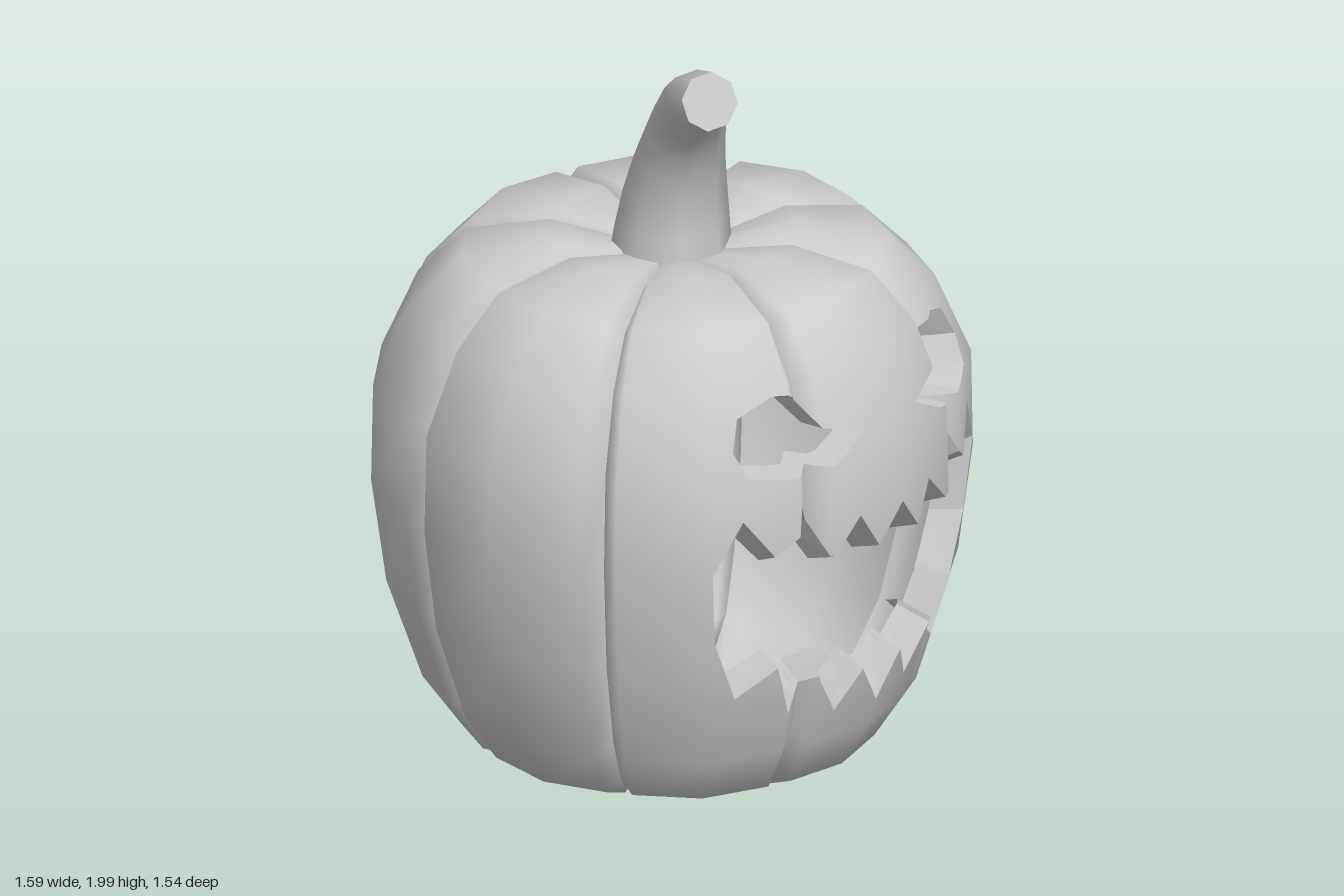
import * as THREE from 'three';

const material = new THREE.MeshStandardMaterial({ color: 0xcccccc, side: THREE.DoubleSide });
const { lerp, clamp, degToRad } = THREE.MathUtils;

// Meridians [radius, height] along the ridge of a lobe and along the groove between lobes
const RIDGE = [[0, .1], [.2, .05], [.4, 0], [.56, .07], [.66, .21], [.755, .49], [.795, .78], [.79, 1.05], [.69, 1.275], [.56, 1.41], [.33, 1.455], [.12, 1.41]];
const GROOVE = [[0, .1], [.22, .09], [.42, .06], [.54, .11], [.62, .25], [.69, .5], [.715, .78], [.7, 1.05], [.62, 1.25], [.5, 1.37], [.3, 1.41], [.11, 1.39]];
const ROWS = RIDGE.length - 1;

// Stations across one lobe: angle, and how far it bulges from groove to ridge
const ANGLE = [-22.5, -19, 0, 19, 22.5];
const BULGE = [0, .83, 1, .83, 0];

// Control point of lobe k at station i, row j
function vertex(k, i, j) {
  const a = degToRad(45 * k + ANGLE[i]);
  const r = lerp(GROOVE[j][0], RIDGE[j][0], BULGE[i]);
  const y = lerp(GROOVE[j][1], RIDGE[j][1], BULGE[i]);
  const z = r * Math.cos(a);
  const flatten = .045 * Math.max(0, z / .795) ** 4; // the face side is a little flatter
  return new THREE.Vector3(r * Math.sin(a), y, z + .02 - flatten);
}

function vertexNormal(k, i, j) {
  const jj = Math.max(j, 1);
  const du = vertex(k, Math.min(i + 1, 4), jj).sub(vertex(k, Math.max(i - 1, 0), jj));
  const dv = vertex(k, i, Math.min(j + 1, ROWS)).sub(vertex(k, i, Math.max(j - 1, 0)));
  return du.cross(dv).normalize();
}

// Bilinear lookup on lobe k; u runs around the body (4 per lobe), v up the meridian
function sample(fn, k, u, v) {
  const s = clamp(u - 4 * k + 2, 0, 4);
  const i = Math.min(3, Math.floor(s)), j = Math.min(ROWS - 1, Math.floor(v));
  const low = fn(k, i, j).lerp(fn(k, i + 1, j), s - i);
  const high = fn(k, i, j + 1).lerp(fn(k, i + 1, j + 1), s - i);
  return low.lerp(high, v - j);
}
const surface = (u, v) => sample(vertex, Math.round(u / 4), u, v);

function bisect(f, target, lo, hi) {
  for (let n = 0; n < 30; n++) {
    const mid = (lo + hi) / 2;
    if (f(mid) < target) lo = mid; else hi = mid;
  }
  return (lo + hi) / 2;
}

// Project a point seen from the front onto the surface
function project([x, y]) {
  let u = 0, v = 6;
  for (let n = 0; n < 12; n++) {
    v = bisect(t => surface(u, t).y, y, 2, 10);
    u = bisect(t => surface(t, v).x, x, -5, 5);
  }
  return [u, v];
}

const flip = pts => pts.map(([x, y]) => [-x, y]).reverse();
const symmetric = pts => [...flip(pts.slice(1)), ...pts];

// Height of a hole edge at u
function at(chain, u) {
  let i = 0;
  while (i < chain.length - 2 && u > chain[i + 1][0]) i++;
  const [a, b] = [chain[i], chain[i + 1]];
  return lerp(a[1], b[1], clamp((u - a[0]) / (b[0] - a[0]), 0, 1));
}

function makeHole(name, bottom, top, middle) {
  const hole = { name, middle, bottom: bottom.map(project), top: top.map(project) };
  hole.start = hole.top[0][0];
  hole.end = hole.top[hole.top.length - 1][0];
  return hole;
}

function makeGeometry(positions, normals) {
  const g = new THREE.BufferGeometry();
  g.setAttribute('position', new THREE.Float32BufferAttribute(positions, 3));
  if (normals) g.setAttribute('normal', new THREE.Float32BufferAttribute(normals, 3));
  else g.computeVertexNormals();
  return g;
}

// One lobe, built in columns that leave out the holes
function lobeGeometry(k, columns, holes) {
  const positions = [], normals = [];
  const us = columns.filter(u => u >= 4 * k - 2 && u <= 4 * k + 2);
  for (let c = 0; c < us.length - 1; c++) {
    const a = us[c], b = us[c + 1], mid = (a + b) / 2;
    const open = holes.filter(h => mid > h.start && mid < h.end).sort((p, q) => p.middle - q.middle);
    const limits = u => [0, ...open.flatMap(h => [at(h.bottom, u), at(h.top, u)]), ROWS];
    const la = limits(a), lb = limits(b);
    for (let s = 0; s < la.length; s += 2) {
      for (let j = 0; j < ROWS; j++) {
        const va = t => clamp(t, la[s], la[s + 1]), vb = t => clamp(t, lb[s], lb[s + 1]);
        const q = [[a, va(j)], [b, vb(j)], [b, vb(j + 1)], [a, va(j + 1)]];
        for (const tri of [[0, 1, 2], [0, 2, 3]]) {
          const [p0, p1, p2] = tri.map(n => q[n]);
          const area = (p1[0] - p0[0]) * (p2[1] - p0[1]) - (p2[0] - p0[0]) * (p1[1] - p0[1]);
          if (Math.abs(area) < 1e-7) continue;
          for (const [u, v] of [p0, p1, p2]) {
            positions.push(...sample(vertex, k, u, v));
            normals.push(...sample(vertexNormal, k, u, v).normalize());
          }
        }
      }
    }
  }
  return makeGeometry(positions, normals);
}

// Cut wall of a hole, tapering into the hollow body
function wallGeometry(hole, columns) {
  const positions = [];
  const us = columns.filter(u => u >= hole.start - 1e-9 && u <= hole.end + 1e-9);
  const inner = p => new THREE.Vector3(p.x * .9, lerp(p.y, hole.middle, .2), p.z * .87);
  for (const chain of [hole.bottom, hole.top]) {
    const rim = us.map(u => surface(u, at(chain, u)));
    if (chain === hole.top) rim.reverse();
    for (let i = 0; i < rim.length - 1; i++) {
      const [a, b] = [rim[i], rim[i + 1]], [c, d] = [inner(b), inner(a)];
      for (const p of [a, b, c, a, c, d]) positions.push(...p);
    }
  }
  return makeGeometry(positions);
}

// Curved stem: a tube whose rings taper toward the cut tip
function makeStem() {
  const path = new THREE.CatmullRomCurve3([
    [0, 1.36, .01], [.015, 1.52, .01], [.005, 1.68, .04], [-.035, 1.81, .1], [-.09, 1.885, .165], [-.135, 1.92, .24],
  ].map(p => new THREE.Vector3(...p)));
  const radii = [.165, .152, .138, .122, .108, .095, .084, .078];
  const rings = radii.length - 1, sides = 8;
  const tube = new THREE.TubeGeometry(path, rings, 1, sides, false);
  const pos = tube.attributes.position, p = new THREE.Vector3();
  for (let i = 0; i < pos.count; i++) {
    const ring = Math.floor(i / (sides + 1)), centre = path.getPointAt(ring / rings);
    p.fromBufferAttribute(pos, i).sub(centre).multiplyScalar(radii[ring]).add(centre);
    pos.setXYZ(i, p.x, p.y, p.z);
  }
  const stem = new THREE.Group();
  stem.name = 'stem';
  const stalk = new THREE.Mesh(tube, material);
  stalk.name = 'stalk';

  // Flat cap using the corners of the last ring
  const ring = Array.from({ length: sides + 1 }, (_, i) => new THREE.Vector3().fromBufferAttribute(pos, rings * (sides + 1) + i));
  const tip = path.getPointAt(1), out = path.getTangentAt(1), cap = [];
  for (let i = 0; i < sides; i++) {
    const [a, b] = [ring[i], ring[i + 1]];
    const outward = a.clone().sub(tip).cross(b.clone().sub(tip)).dot(out) > 0;
    for (const q of outward ? [tip, a, b] : [tip, b, a]) cap.push(...q);
  }
  const tipMesh = new THREE.Mesh(makeGeometry(cap), material);
  tipMesh.name = 'stemTip';
  stem.add(stalk, tipMesh);
  return stem;
}

export function createModel() {
  const model = new THREE.Group();
  model.name = 'carvedPumpkin';

  // Carved outlines as seen from the front
  const eyeTop = [[.106, 1.105], [.25, 1.215], [.34, 1.25], [.44, 1.21], [.478, 1.13]];
  const eyeBottom = [[.106, 1.105], [.22, 1.05], [.36, 1.04], [.46, 1.06], [.478, 1.13]];
  const mouthTop = symmetric([[0, .875], [.083, .775], [.147, .88], [.237, .79], [.31, .94], [.405, .83], [.482, .945], [.56, .805]]);
  const mouthBottom = symmetric([[0, .285], [.08, .405], [.15, .3], [.237, .435], [.308, .345], [.37, .495], [.455, .415], [.535, .6], [.56, .805]]);
  const holes = [
    makeHole('leftEyeCut', eyeBottom, eyeTop, 1.07),
    makeHole('rightEyeCut', flip(eyeBottom), flip(eyeTop), 1.07),
    makeHole('mouthCut', mouthBottom, mouthTop, .6),
  ];

  // Column positions: the lobe stations plus every corner of the outlines
  const corners = holes.flatMap(h => [...h.bottom, ...h.top].map(p => p[0]));
  const stations = Array.from({ length: 33 }, (_, i) => i - 6);
  const columns = [...stations, ...corners].sort((a, b) => a - b).filter((u, i, all) => i === 0 || u - all[i - 1] > 1e-6);

  const body = new THREE.Group();
  body.name = 'body';
  for (let k = -1; k < 7; k++) {
    const lobe = new THREE.Mesh(lobeGeometry(k, columns, holes), material);
    lobe.name = `lobe${k + 2}`;
    body.add(lobe);
  }
  for (const hole of holes) {
    const wall = new THREE.Mesh(wallGeometry(hole, columns), material);
    wall.name = hole.name;
    body.add(wall);
  }
  model.add(body, makeStem());
  return model;
}
